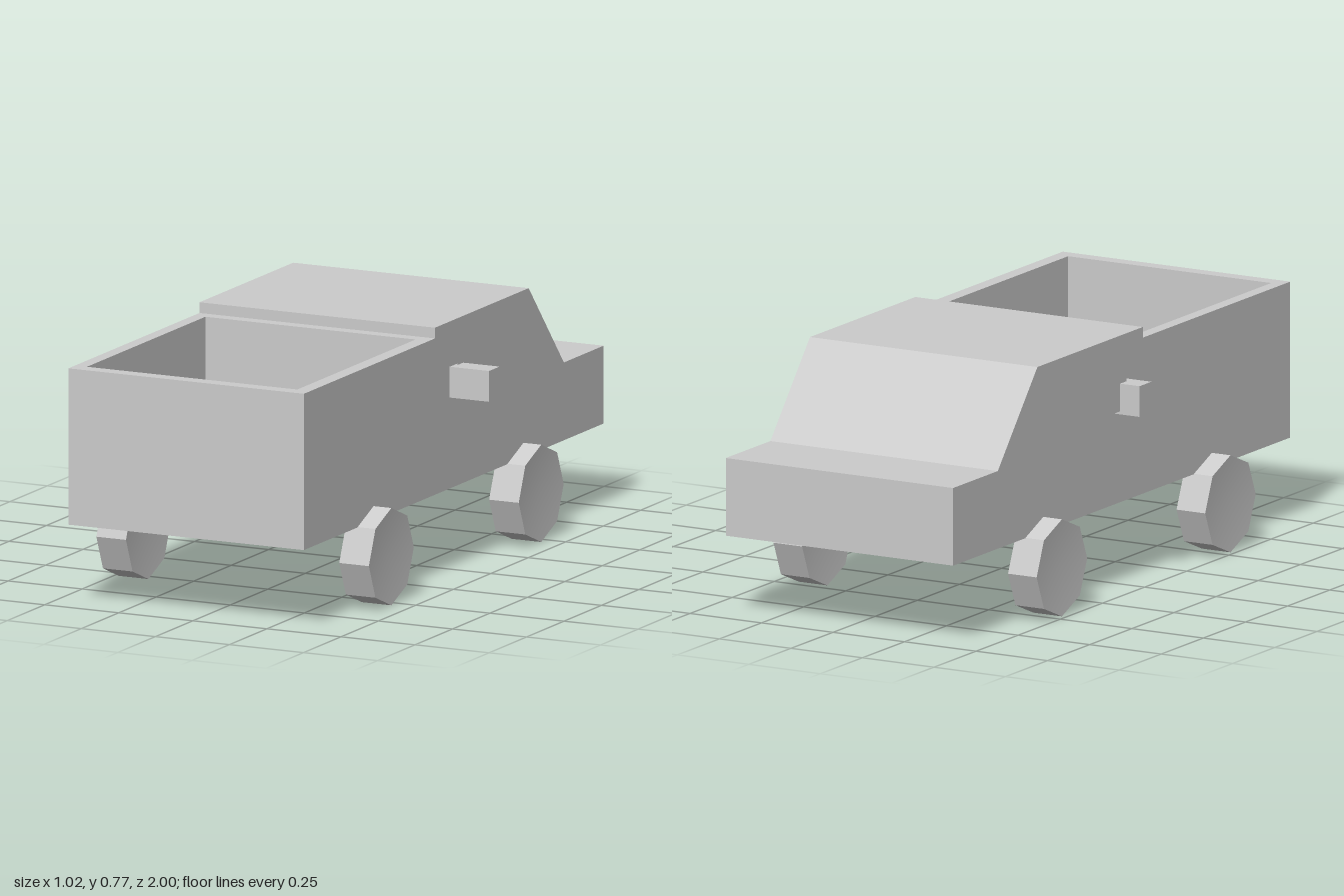
import * as THREE from 'three';
import { toCreasedNormals } from 'three/addons/utils/BufferGeometryUtils.js';

const LEFT = 0.375, RIGHT = -0.42; // body sides
const FLOOR = 0.48;                // cargo bed floor height

const material = new THREE.MeshStandardMaterial({ color: 0xcccccc, side: THREE.DoubleSide });

function addMesh(parent, name, geometry, x = 0, y = 0, z = 0) {
  const mesh = new THREE.Mesh(geometry, material);
  mesh.name = name;
  mesh.position.set(x, y, z);
  parent.add(mesh);
  return mesh;
}

const polygon = (points) => points.map(([a, b]) => new THREE.Vector2(a, b));

export function createModel() {
  const model = new THREE.Group();
  model.name = 'pickupTruck';

  // Hull and cab: side profile (z, y) extruded across the width
  const profile = new THREE.Shape(polygon([
    [1, 0.255], [1, FLOOR], [0.125, FLOOR], [0.125, 0.77],
    [-0.5, 0.77], [-0.735, 0.495], [-1, 0.495], [-1, 0.255],
  ]));
  const hull = new THREE.ExtrudeGeometry(profile, { depth: LEFT - RIGHT, bevelEnabled: false });
  hull.rotateY(-Math.PI / 2);
  addMesh(model, 'bodyAndCab', hull, LEFT);

  // Cargo bed walls: plan outline (x, -z) with a hole, extruded upwards
  const walls = new THREE.Shape(polygon([[RIGHT, -1], [LEFT, -1], [LEFT, -0.125], [RIGHT, -0.125]]));
  walls.holes.push(new THREE.Path(polygon([[-0.38, -0.955], [-0.38, -0.165], [0.33, -0.165], [0.33, -0.955]])));
  const bed = new THREE.ExtrudeGeometry(walls, { depth: 0.737 - FLOOR, bevelEnabled: false });
  bed.rotateX(-Math.PI / 2);
  addMesh(model, 'bedWalls', bed, 0, FLOOR);

  // Eight-sided wheels with slightly dished faces
  const lathe = new THREE.LatheGeometry(polygon([[0, -0.04], [0.15, -0.05], [0.15, 0.05], [0, 0.04]]), 8);
  lathe.rotateZ(Math.PI / 2);
  const wheel = toCreasedNormals(lathe, 0.5);
  for (const [end, z] of [['front', 0.535], ['rear', -0.465]]) {
    addMesh(model, end + 'LeftWheel', wheel, 0.385, 0.15, z);
    addMesh(model, end + 'RightWheel', wheel, -0.435, 0.15, z);
  }

  // Side mirrors, set into the body sides
  for (const [side, inner, outer] of [['left', LEFT - 0.02, 0.508], ['right', RIGHT + 0.02, -0.508]]) {
    const box = new THREE.BoxGeometry(Math.abs(outer - inner), 0.095, 0.07);
    addMesh(model, side + 'Mirror', box, (inner + outer) / 2, 0.583, -0.008);
  }

  // Thin side windows standing just off the body
  for (const [side, x] of [['left', 0.385], ['right', -0.44]]) {
    const pane = addMesh(model, side + 'Window', new THREE.PlaneGeometry(0.4, 0.15), x, 0.62, -0.205);
    pane.rotation.y = Math.sign(x) * Math.PI / 2;
  }

  return model;
}
